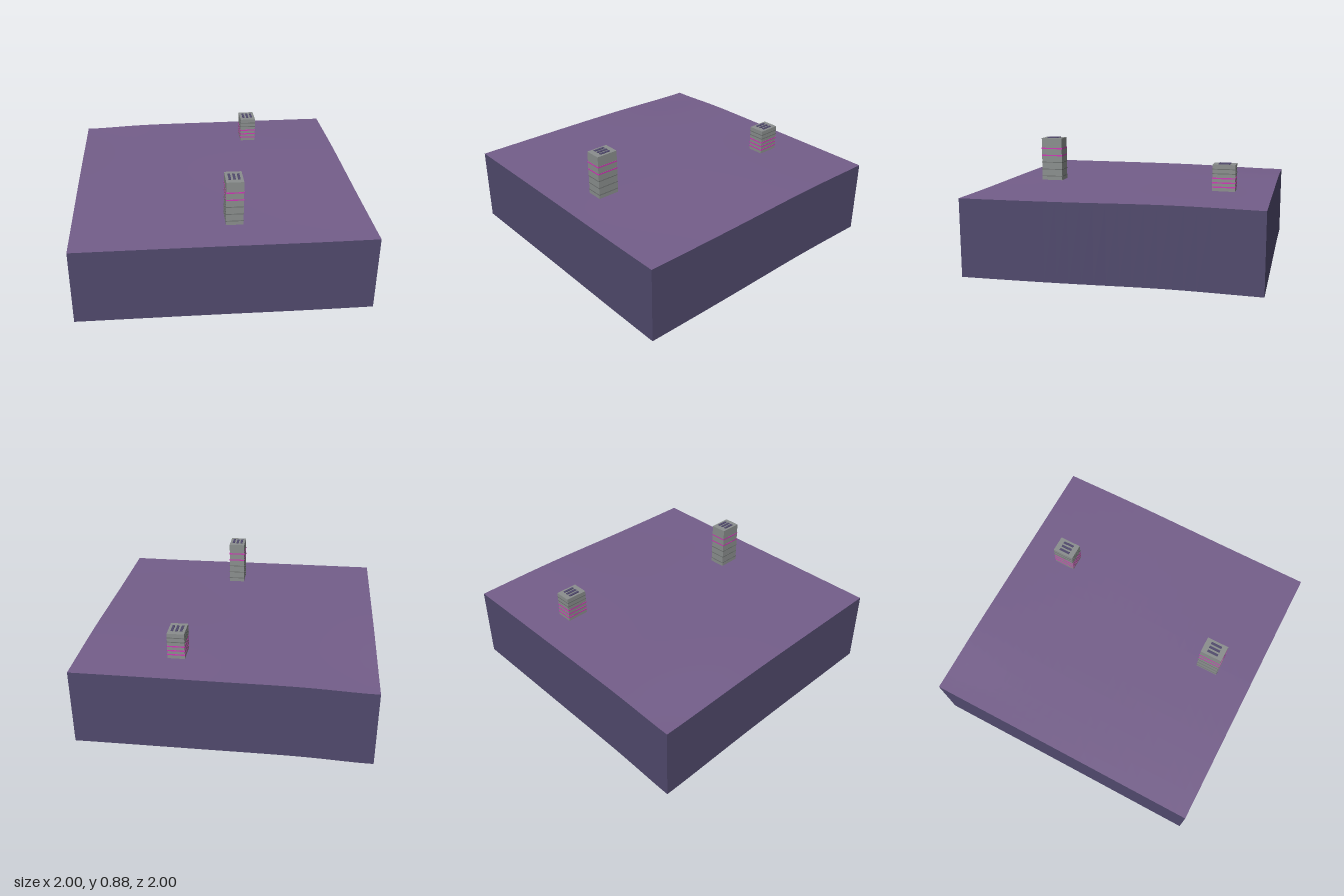
import * as THREE from 'three';

const material = (name, color, side = THREE.FrontSide) =>
  Object.assign(new THREE.MeshStandardMaterial({ color, side }), { name });

const WALL_HEIGHT = 0.535;

// gently rolling ground height
function groundHeight(x, z) {
  const corner = 0.021 * Math.exp(-((x + 1) ** 2) / 0.12 - (z + 1) ** 2 / 0.35);
  const rise = 0.012 * Math.exp(-((x - 1) ** 2) / 0.8 - (z + 0.4) ** 2 / 0.3);
  const hollow = 0.004 * Math.exp(-((x - 0.6) ** 2 + (z - 1) ** 2) / 0.3);
  return 0.556 - corner + rise - hollow;
}

export function createModel() {
  const model = new THREE.Group();
  model.name = 'groundBlockWithTowers';
  const ground = material('purple ground', 0x745e8a, THREE.DoubleSide);
  const wall = material('dark indigo', 0x50496c, THREE.DoubleSide);
  const concrete = material('concrete grey', 0x8a8e8d);
  const darkBand = material('dark grey', 0x6c706f);
  const neon = material('neon magenta', 0xcc38b4);

  function add(parent, name, geometry, mat, x = 0, y = 0, z = 0) {
    const mesh = new THREE.Mesh(geometry, mat);
    mesh.name = name;
    mesh.position.set(x, y, z);
    parent.add(mesh);
    return mesh;
  }

  // ground surface
  const top = new THREE.PlaneGeometry(2, 2, 24, 24).rotateX(-Math.PI / 2);
  const p = top.attributes.position;
  for (let i = 0; i < p.count; i++) p.setY(i, groundHeight(p.getX(i), p.getZ(i)));
  top.computeVertexNormals();
  add(model, 'groundSurface', top, ground);

  // four skirt walls following the ground edge, open below
  ['frontWall', 'leftWall', 'backWall', 'rightWall'].forEach((name, side) => {
    const geometry = new THREE.PlaneGeometry(2, 1, 24, 1)
      .translate(0, 0, 1)
      .rotateY(side * Math.PI / 2);
    const q = geometry.attributes.position;
    for (let i = 0; i < q.count; i++) {
      const drop = q.getY(i) > 0 ? 0 : WALL_HEIGHT;
      q.setY(i, groundHeight(q.getX(i), q.getZ(i)) - drop);
    }
    add(model, name, geometry, wall);
  });

  // tower block with floor bands and roof vents
  function addTower(name, x, z, base, roof, bands) {
    const tower = new THREE.Group();
    tower.name = name;
    tower.position.set(x, 0, z);
    model.add(tower);
    const w = 0.117, d = 0.157;
    add(tower, 'towerBody', new THREE.BoxGeometry(w, roof - base, d), concrete, 0, (base + roof) / 2);
    for (const [y, lit] of bands) {
      add(tower, lit ? 'neonBand' : 'floorBand',
        new THREE.BoxGeometry(w + 0.003, lit ? 0.009 : 0.006, d + 0.003),
        lit ? neon : darkBand, 0, y);
    }
    for (const i of [-1, 0, 1]) {
      add(tower, 'roofVent', new THREE.BoxGeometry(0.016, 0.006, 0.08), wall, i * 0.031, roof + 0.002);
    }
  }

  addTower('tallTower', 0.08, 0.665, 0.555, 0.872,
    [[0.585, false], [0.637, false], [0.69, false], [0.742, true], [0.795, true]]);
  addTower('shortTower', 0.333, -0.667, 0.561, 0.745,
    [[0.59, true], [0.62, true], [0.651, true], [0.683, false], [0.714, false]]);

  return model;
}
